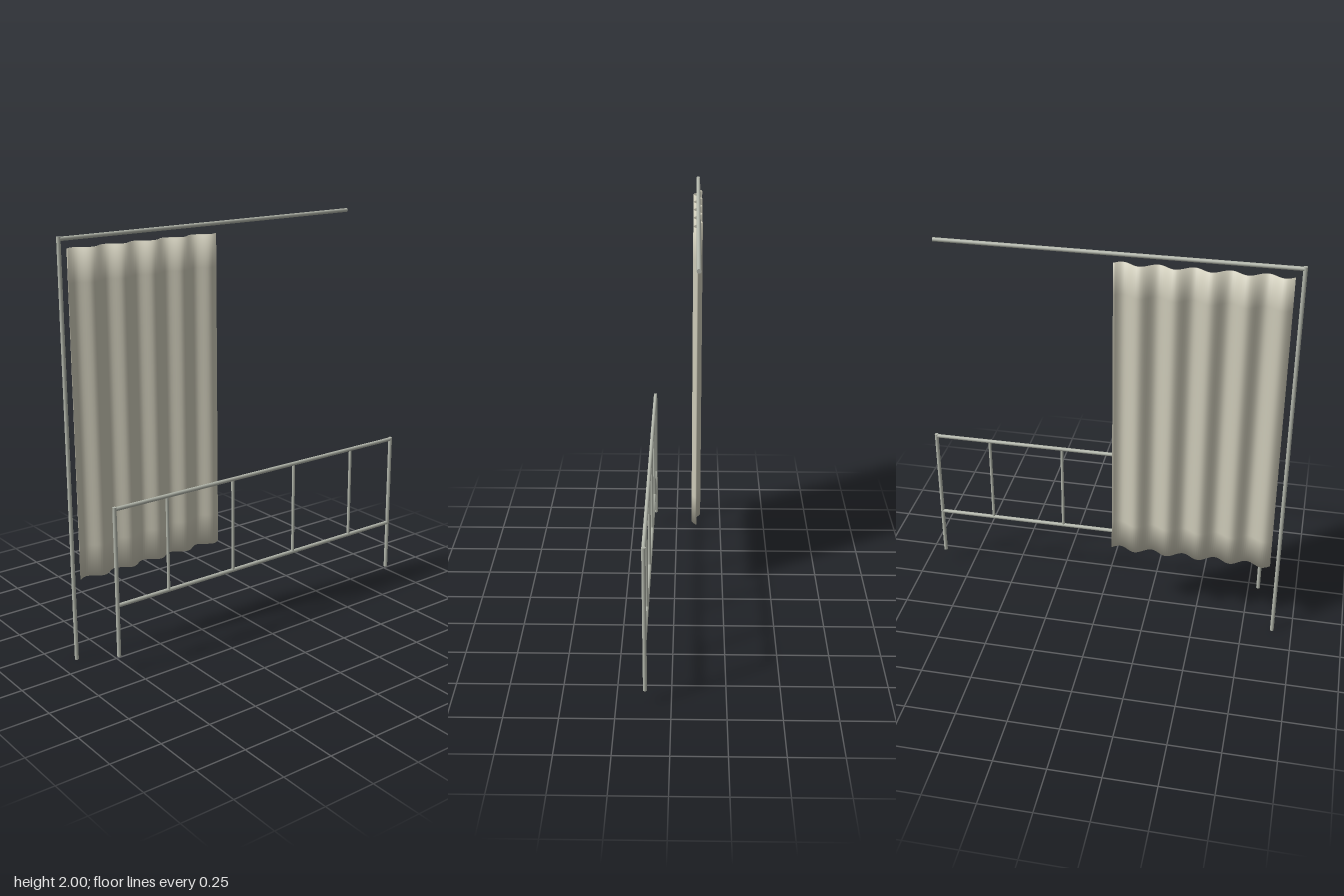
import * as THREE from 'three';
import { mergeVertices } from 'three/addons/utils/BufferGeometryUtils.js';

const metal = new THREE.MeshStandardMaterial({ color: 0xb2b6ab });
const cloth = new THREE.MeshStandardMaterial({ color: 0xcdcab8 });

// Straight round tube between two points
function tube(name, from, to, radius) {
  const a = new THREE.Vector3(...from);
  const b = new THREE.Vector3(...to);
  const mesh = new THREE.Mesh(new THREE.CylinderGeometry(radius, radius, a.distanceTo(b), 16), metal);
  mesh.name = name;
  mesh.position.copy(a).add(b).multiplyScalar(0.5);
  mesh.quaternion.setFromUnitVectors(new THREE.Vector3(0, 1, 0), b.sub(a).normalize());
  return mesh;
}

// Thin closed sheet, pleated by a sine wave, with softly rounded hems
function makeCurtain() {
  const width = 0.795, height = 1.545, rows = 10, pleats = 5, depth = 0.02;
  const box = new THREE.BoxGeometry(width, height, 0.005, 80, rows, 1);
  box.deleteAttribute('normal');
  box.deleteAttribute('uv');
  const geometry = mergeVertices(box);
  const pos = geometry.attributes.position;
  for (let i = 0; i < pos.count; i++) {
    const u = pos.getX(i) / width + 0.5;
    pos.setZ(i, pos.getZ(i) - depth * Math.sin(u * pleats * Math.PI * 2));
  }
  geometry.computeVertexNormals();

  // Lean the normals of both hems outwards
  const normal = geometry.attributes.normal;
  const n = new THREE.Vector3();
  for (let i = 0; i < pos.count; i++) {
    if (Math.abs(pos.getY(i)) < height / 2 - 0.001) continue;
    n.fromBufferAttribute(normal, i);
    n.y = Math.sign(pos.getY(i)) * 0.9;
    n.normalize();
    normal.setXYZ(i, n.x, n.y, n.z);
  }
  const mesh = new THREE.Mesh(geometry, cloth);
  mesh.name = 'curtain';
  mesh.position.set(-0.467, 1.173, -0.108);
  return mesh;
}

export function createModel() {
  const model = new THREE.Group();
  model.name = 'curtainAndBedRail';

  // Curtain frame: one tall post and a long overhead rod
  const frame = new THREE.Group();
  frame.name = 'curtainFrame';
  const fz = -0.11, r = 0.0095;
  frame.add(tube('curtainPost', [-0.902, 0, fz], [-0.902, 2, fz], r));
  frame.add(tube('curtainRod', [-0.902, 1.99, fz], [0.753, 1.99, fz], r));
  model.add(frame, makeCurtain());

  // Bed rail: two legs, two horizontal bars, four uprights
  const rail = new THREE.Group();
  rail.name = 'bedRail';
  const rz = 0.118, left = 0.896, right = -0.806, top = 0.805, low = 0.335;
  for (const x of [right, left]) rail.add(tube('railLeg', [x, 0.08, rz], [x, top + r, rz], r));
  for (const y of [top, low]) rail.add(tube('railBar', [right, y, rz], [left, y, rz], r));
  for (let i = 0; i < 4; i++) {
    const x = -0.523 + i * 0.3785;
    rail.add(tube('railUpright', [x, low, rz], [x, top, rz], 0.0075));
  }
  model.add(rail);
  return model;
}
